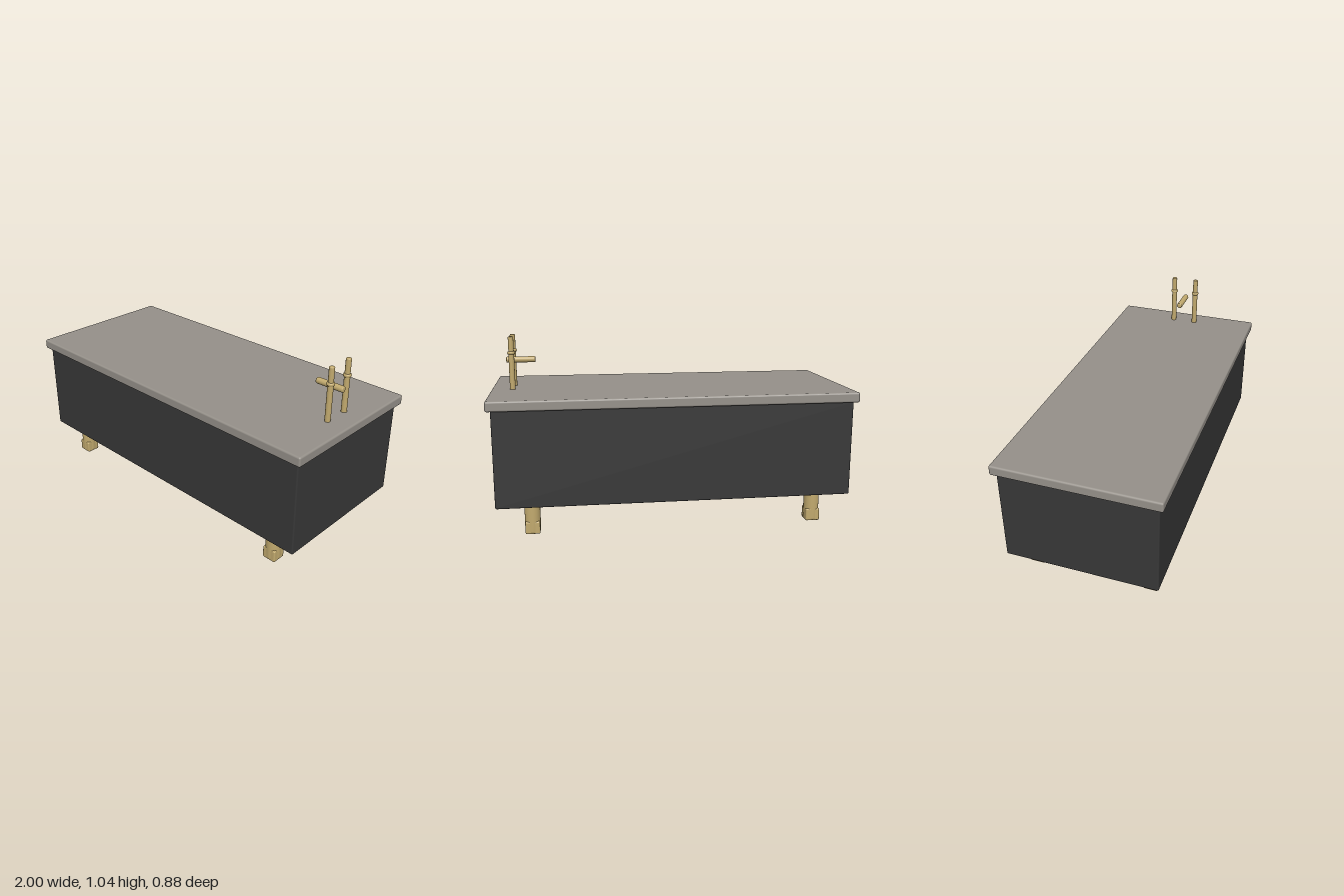
import * as THREE from 'three';
import { RoundedBoxGeometry } from 'three/addons/geometries/RoundedBoxGeometry.js';

export function createModel() {
  const model = new THREE.Group();
  model.name = 'bathtub';

  const material = (name, color) => {
    const m = new THREE.MeshStandardMaterial({ color });
    m.name = name;
    return m;
  };
  const charcoal = material('charcoal', 0x383838);
  const stone = material('stone', 0x96918a);
  const brass = material('brass', 0xc2aa6e);

  const add = (parent, name, geometry, mat, x = 0, y = 0, z = 0) => {
    const mesh = new THREE.Mesh(geometry, mat);
    mesh.name = name;
    mesh.position.set(x, y, z);
    parent.add(mesh);
    return mesh;
  };

  // Rounded box and bevelled rod, both resting on y = 0
  const box = (w, h, d, r) => new RoundedBoxGeometry(w, h, d, 2, r).translate(0, h / 2, 0);
  const rod = (r, h, b, sides = 24) => {
    const k = b * 0.3;
    const profile = [[0, 0], [r - b, 0], [r - k, k], [r, b], [r, h - b], [r - k, h - k], [r - b, h], [0, h]];
    return new THREE.LatheGeometry(profile.map(([x, y]) => new THREE.Vector2(x, y)), sides);
  };

  // Tub body and overhanging top slab
  add(model, 'body', box(1.95, 0.533, 0.834, 0.008), charcoal, 0, 0.167, 0);
  add(model, 'topSlab', box(2, 0.055, 0.882, 0.01), stone, 0, 0.695, 0);

  // Four feet: a round post set in a square shoe
  for (const sx of [-1, 1]) {
    for (const sz of [-1, 1]) {
      const foot = new THREE.Group();
      foot.name = 'foot';
      foot.position.set(sx * 0.787, 0, sz * 0.326);
      add(foot, 'footPost', rod(0.0425, 0.163, 0.008), brass, 0, 0.004, 0);
      add(foot, 'footShoe', box(0.08, 0.07, 0.08, 0.008), brass);
      model.add(foot);
    }
  }

  // Two upright taps, each with a collar
  for (const sz of [-1, 1]) {
    const tap = new THREE.Group();
    tap.name = 'tap';
    tap.position.set(0.882, 0.74, sz * 0.07);
    add(tap, 'tapPipe', rod(0.0155, 0.215, 0.004), brass);
    add(tap, 'tapHandle', rod(0.0148, 0.105, 0.005), brass, 0, 0.2, 0);
    add(tap, 'tapCollar', rod(0.0215, 0.018, 0.007), brass, 0, 0.205, 0);
    model.add(tap);
  }

  // Horizontal spout between the taps
  const spout = add(model, 'spout', rod(0.017, 0.162, 0.006), brass, 0.916, 0.908, 0);
  spout.rotation.z = Math.PI / 2;

  return model;
}
